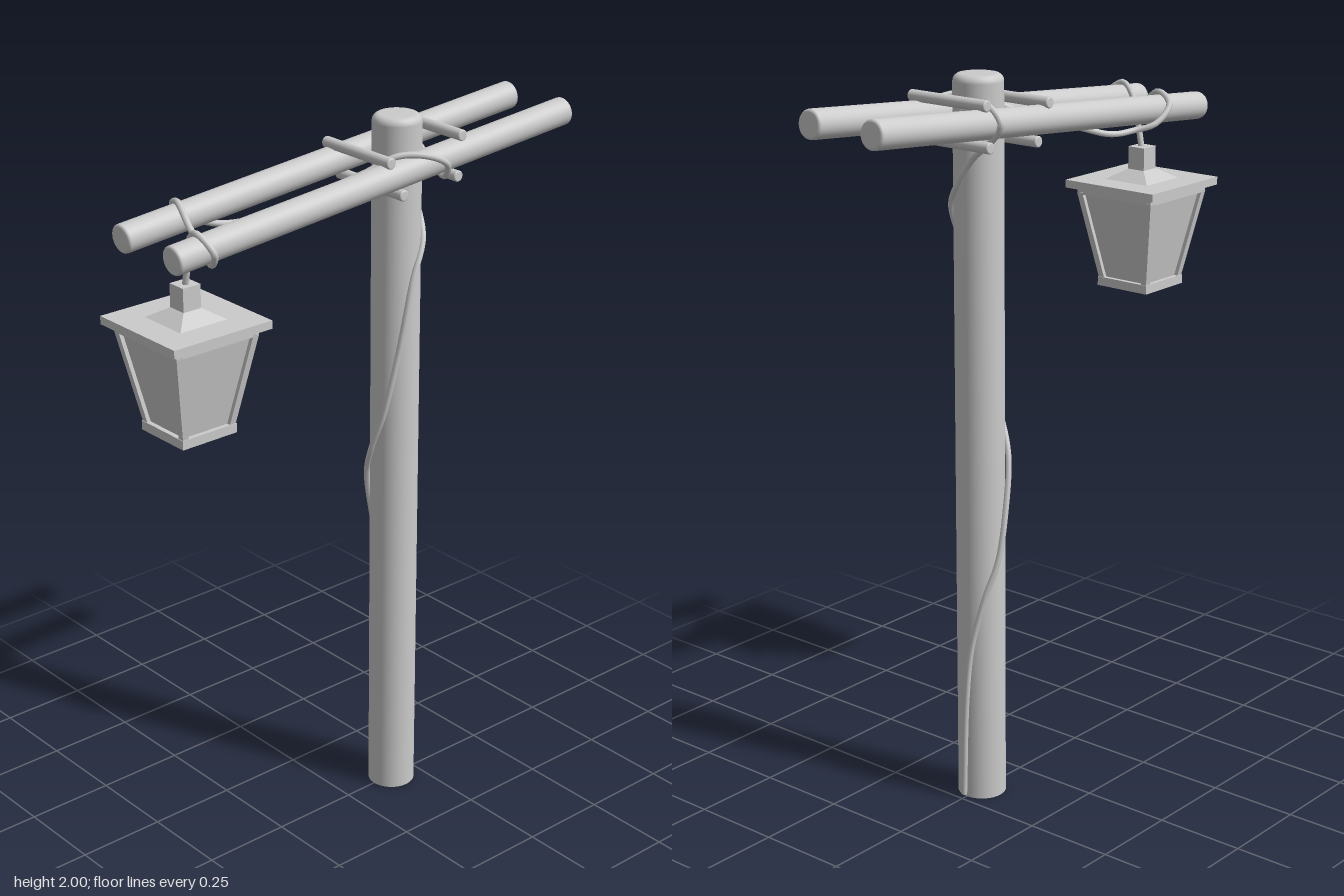
import * as THREE from 'three';

const smooth = new THREE.MeshStandardMaterial({ color: 0xcccccc, side: THREE.DoubleSide });
const faceted = new THREE.MeshStandardMaterial({ color: 0xcccccc, flatShading: true });
const V = (a) => new THREE.Vector3(...a);

function add(parent, name, geometry, material, x = 0, y = 0, z = 0) {
  const mesh = new THREE.Mesh(geometry, material);
  mesh.name = name;
  mesh.position.set(x, y, z);
  parent.add(mesh);
  return mesh;
}

// Round timber along y from 0 to length, with softened ends
function log(radius, length, bevel, closedBottom = true) {
  const pts = [];
  const arc = (cy, from) => {
    for (let i = 0; i <= 4; i++) {
      const a = from + (i / 4) * Math.PI / 2;
      pts.push(new THREE.Vector2(radius - bevel + bevel * Math.cos(a), cy + bevel * Math.sin(a)));
    }
  };
  if (closedBottom) {
    pts.push(new THREE.Vector2(0, 0));
    arc(bevel, -Math.PI / 2);
  } else pts.push(new THREE.Vector2(radius, 0));
  arc(length - bevel, 0);
  pts.push(new THREE.Vector2(0, length));
  return new THREE.LatheGeometry(pts, 32);
}

// Place a y-axis part so that it runs from a to b
function between(mesh, a, b) {
  mesh.position.copy(a);
  mesh.quaternion.setFromUnitVectors(new THREE.Vector3(0, 1, 0), b.clone().sub(a).normalize());
}

// Square frustum given by half widths
function frustum(top, bottom, height) {
  return new THREE.CylinderGeometry(top * Math.SQRT2, bottom * Math.SQRT2, height, 4).rotateY(Math.PI / 4);
}

function createLantern() {
  const lantern = new THREE.Group();
  lantern.name = 'lantern';
  const box = (name, half, y0, y1) =>
    add(lantern, name, new THREE.BoxGeometry(half * 2, y1 - y0, half * 2), faceted, 0, (y0 + y1) / 2, 0);
  box('lanternBase', 0.085, 1.31, 1.335);
  box('lanternTopRail', 0.127, 1.573, 1.592);
  box('lanternRoof', 0.151, 1.592, 1.614);
  box('lanternCap', 0.027, 1.638, 1.705);
  add(lantern, 'roofPeak', frustum(0.027, 0.072, 0.028), faceted, 0, 1.628, 0);
  add(lantern, 'lanternPanes', frustum(0.117, 0.071, 0.25), faceted, 0, 1.455, 0);
  // Sloping corner posts
  for (const sx of [-1, 1]) for (const sz of [-1, 1]) {
    const a = V([sx * 0.073, 1.33, sz * 0.073]);
    const b = V([sx * 0.119, 1.58, sz * 0.119]);
    const post = add(lantern, 'cornerPost', frustum(0.009, 0.009, a.distanceTo(b)).translate(0, a.distanceTo(b) / 2, 0), faceted);
    between(post, a, b);
  }
  lantern.position.x = -0.53;
  return lantern;
}

export function createModel() {
  const model = new THREE.Group();
  model.name = 'lampPost';

  add(model, 'pole', log(0.066, 2, 0.02, false), smooth, 0.165, 0, 0);

  // Pair of sloping beams either side of the pole
  for (const z of [0.1, -0.105]) {
    const a = V([-0.643, 1.816, z]), b = V([0.673, 1.93, z]);
    between(add(model, 'beam', log(0.038, a.distanceTo(b), 0.008), smooth), a, b);
  }

  // Pegs above and below the beams
  for (const [x, y] of [[0.035, 1.92], [0.28, 1.945], [0.08, 1.826], [0.268, 1.838]]) {
    add(model, 'crossPeg', log(0.015, 0.256, 0.004).rotateX(Math.PI / 2), smooth, x, y, -0.13);
  }

  model.add(createLantern());

  // Cable from the lantern, round both beams, then spiralling down the pole
  const path = [
    [-0.53, 1.69, 0], [-0.535, 1.77, 0.02], [-0.555, 1.84, 0.057], [-0.566, 1.868, 0.1],
    [-0.55, 1.825, 0.147], [-0.53, 1.782, 0.11], [-0.505, 1.79, 0.05], [-0.49, 1.835, -0.03],
    [-0.473, 1.876, -0.095], [-0.445, 1.85, -0.153], [-0.39, 1.805, -0.147], [-0.35, 1.79, -0.11],
    [-0.28, 1.786, -0.085], [-0.2, 1.81, -0.045], [0, 1.885, 0.055], [0.08, 1.925, 0.1],
    [0.15, 1.92, 0.142], [0.205, 1.89, 0.149], [0.23, 1.843, 0.11], [0.238, 1.87, 0.05],
    [0.247, 1.93, -0.05], [0.255, 1.942, -0.105], [0.256, 1.9, -0.152], [0.25, 1.845, -0.11],
    [0.243, 1.8, -0.05], [0.237, 1.73, 0.005], [0.212, 1.66, 0.053], [0.16, 1.56, 0.072],
    [0.122, 1.35, 0.058], [0.098, 1.18, 0.03], [0.094, 1.08, -0.01], [0.115, 0.98, -0.055],
    [0.155, 0.83, -0.078], [0.185, 0.7, -0.077], [0.213, 0.6, -0.055], [0.235, 0.45, -0.025],
    [0.242, 0.3, -0.012], [0.238, 0.01, 0.003],
  ].map(V);
  const curve = new THREE.CatmullRomCurve3(path, false, 'centripetal');
  add(model, 'cable', new THREE.TubeGeometry(curve, 300, 0.0085, 8), smooth);

  return model;
}
